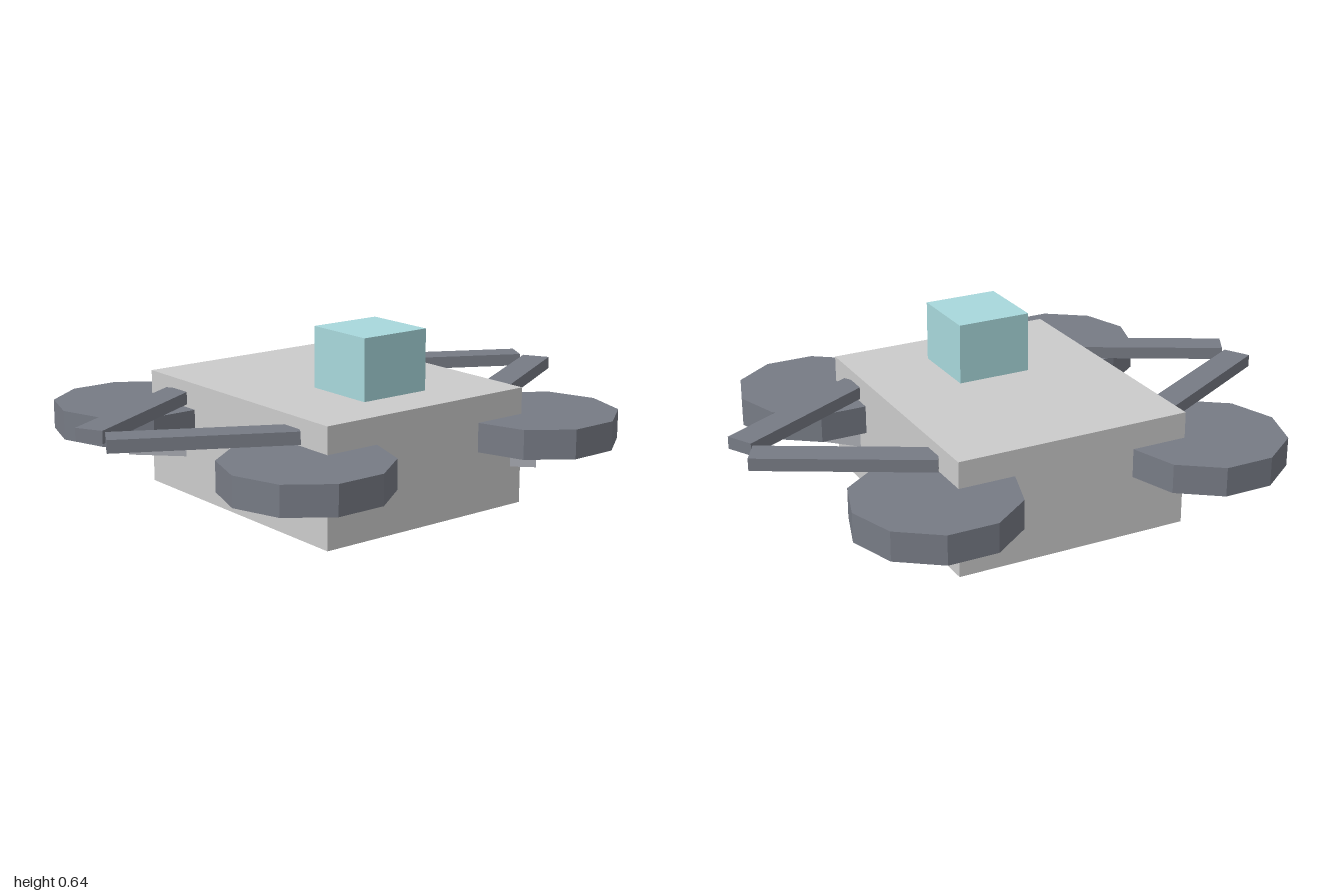
import * as THREE from 'three';

const material = (color) => new THREE.MeshStandardMaterial({ color, flatShading: true });

export function createModel() {
  const model = new THREE.Group();
  model.name = 'drone';
  const bodyMat = material(0xcccccc);
  const armMat = material(0xa9abb2);
  const rotorMat = material(0x777b85);
  const sensorMat = material(0xa8d8dc);

  const add = (name, geometry, mat, x, y, z, turn = 0) => {
    const mesh = new THREE.Mesh(geometry, mat);
    mesh.name = name;
    mesh.position.set(x, y, z);
    mesh.rotation.y = turn;
    model.add(mesh);
  };

  // Main hull and the sensor cube on its front half
  add('body', new THREE.BoxGeometry(0.87, 0.42, 1.04), bodyMat, 0, 0.21, 0);
  add('sensor', new THREE.BoxGeometry(0.274, 0.274, 0.274), sensorMat, 0, 0.503, 0.207);

  // Each arm runs diagonally out from the hull to its rotor's centre
  const armLength = 0.45;
  const armGeo = new THREE.BoxGeometry(armLength, 0.08, 0.19);
  const armCentre = 0.517 - (armLength / 2) * Math.SQRT1_2;
  // Ten-sided rotor disc with corners on the x axis
  const rotorGeo = new THREE.CylinderGeometry(0.29, 0.29, 0.105, 10).rotateY(Math.PI / 10);
  const strutGeo = new THREE.BoxGeometry(0.626, 0.045, 0.103);

  for (const sx of [-1, 1]) {
    for (const sz of [-1, 1]) {
      const label = (sz > 0 ? 'front' : 'back') + (sx > 0 ? 'Left' : 'Right');
      add(label + 'Arm', armGeo, armMat, sx * armCentre, 0.18, sz * armCentre, -sx * sz * Math.PI / 4);
      add(label + 'Rotor', rotorGeo, rotorMat, sx * 0.517, 0.272, sz * 0.517);
      // Side struts nearly meet at their outer ends
      add(label + 'Strut', strutGeo, rotorMat, sx * 0.7, 0.358, sz * 0.204, sx * sz * 0.5);
    }
  }
  return model;
}
